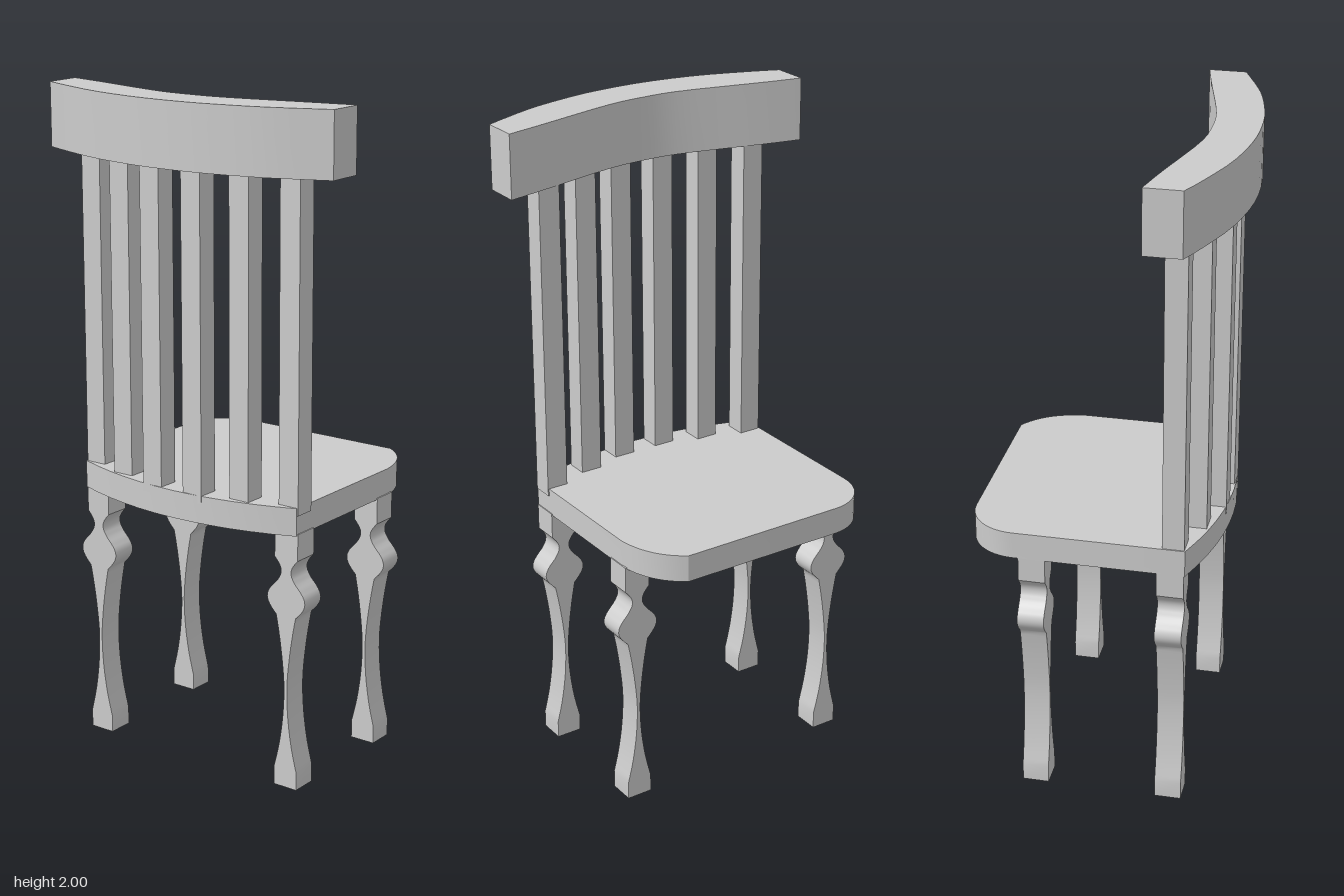
import * as THREE from 'three';
import { toCreasedNormals } from 'three/addons/utils/BufferGeometryUtils.js';

const material = new THREE.MeshStandardMaterial({ color: 0xcccccc });
const V = (x, y) => new THREE.Vector2(x, y);

function addMesh(parent, name, geometry, x = 0, y = 0, z = 0) {
  const mesh = new THREE.Mesh(geometry, material);
  mesh.name = name;
  mesh.position.set(x, y, z);
  parent.add(mesh);
  return mesh;
}

// Extrude a shape and smooth its gentle curves while keeping corners sharp
function extrude(shape, depth, curveSegments = 12) {
  const geometry = new THREE.ExtrudeGeometry(shape, { depth, bevelEnabled: false, curveSegments });
  return toCreasedNormals(geometry, 0.6);
}

// Extrude a plan outline, drawn as (x, -z), upwards
const slab = (shape, height) => extrude(shape, height).rotateX(-Math.PI / 2);

// Half-width of the leg against height: foot, slim calf, round knob, notch, block
function legShape() {
  const profile = [V(0.04, 0)];
  const calf = new THREE.SplineCurve([
    V(0.04, 0.055), V(0.022, 0.13), V(0.009, 0.22), V(0.005, 0.31),
    V(0.011, 0.39), V(0.022, 0.47), V(0.034, 0.535),
  ]);
  profile.push(...calf.getPoints(18));
  for (let i = 1; i <= 12; i++) {
    const t = i / 12;
    profile.push(V(0.034 + 0.032 * Math.sin(Math.PI * t), 0.535 + 0.1 * t));
  }
  for (let i = 1; i <= 10; i++) {
    const t = i / 10;
    profile.push(V(0.034 + 0.006 * t - 0.02 * Math.sin(Math.PI * t), 0.635 + 0.075 * t));
  }
  profile.push(V(0.04, 0.79));
  const mirrored = profile.map((p) => V(-p.x, p.y)).reverse();
  return new THREE.Shape([...profile, ...mirrored]);
}

export function createModel() {
  const chair = new THREE.Group();
  chair.name = 'chair';

  // Seat with rounded front corners and a bowed back edge
  const seat = new THREE.Shape();
  seat.moveTo(-0.268, -0.383);
  seat.lineTo(0.2, -0.383);
  seat.quadraticCurveTo(0.325, -0.37, 0.385, -0.275);
  seat.lineTo(0.385, 0.25);
  seat.bezierCurveTo(0.385, 0.33, 0.32, 0.393, 0.24, 0.393);
  seat.lineTo(-0.268, 0.393);
  seat.quadraticCurveTo(-0.42, 0, -0.268, -0.383);
  addMesh(chair, 'seat', slab(seat, 0.083), 0, 0.785, 0);

  // Curved top rail
  const back = new THREE.SplineCurve([
    V(-0.27, 0.5), V(-0.303, 0.42), V(-0.358, 0.256), V(-0.387, 0.08),
    V(-0.387, -0.08), V(-0.37, -0.2), V(-0.336, -0.335), V(-0.27, -0.497),
  ]);
  const front = new THREE.SplineCurve([
    V(-0.16, -0.497), V(-0.188, -0.37), V(-0.244, -0.13), V(-0.255, 0),
    V(-0.246, 0.13), V(-0.188, 0.37), V(-0.16, 0.5),
  ]);
  const rail = new THREE.Shape([...back.getPoints(20), ...front.getPoints(20)]);
  addMesh(chair, 'topRail', slab(rail, 0.19), 0, 1.81, 0);

  // Back posts and slats follow the bow of the rail
  const slatGeometry = new THREE.BoxGeometry(0.065, 1.05, 0.067);
  const slatX = [-0.233, -0.273, -0.307, -0.307, -0.273, -0.233];
  const slatZ = [0.353, 0.208, 0.066, -0.08, -0.218, -0.356];
  slatZ.forEach((z, i) => {
    const name = i === 0 || i === 5 ? 'backPost' : 'backSlat';
    addMesh(chair, name, slatGeometry, slatX[i], 1.37, z);
  });

  // Four shaped legs, cut from a board of even thickness
  const legGeometry = extrude(legShape(), 0.08).translate(0, 0, -0.04).rotateY(-Math.PI / 2);
  for (const [end, x] of [['front', 0.185], ['back', -0.225]]) {
    addMesh(chair, end + 'LeftLeg', legGeometry, x, 0, -0.352);
    addMesh(chair, end + 'RightLeg', legGeometry, x, 0, 0.346);
  }
  return chair;
}
